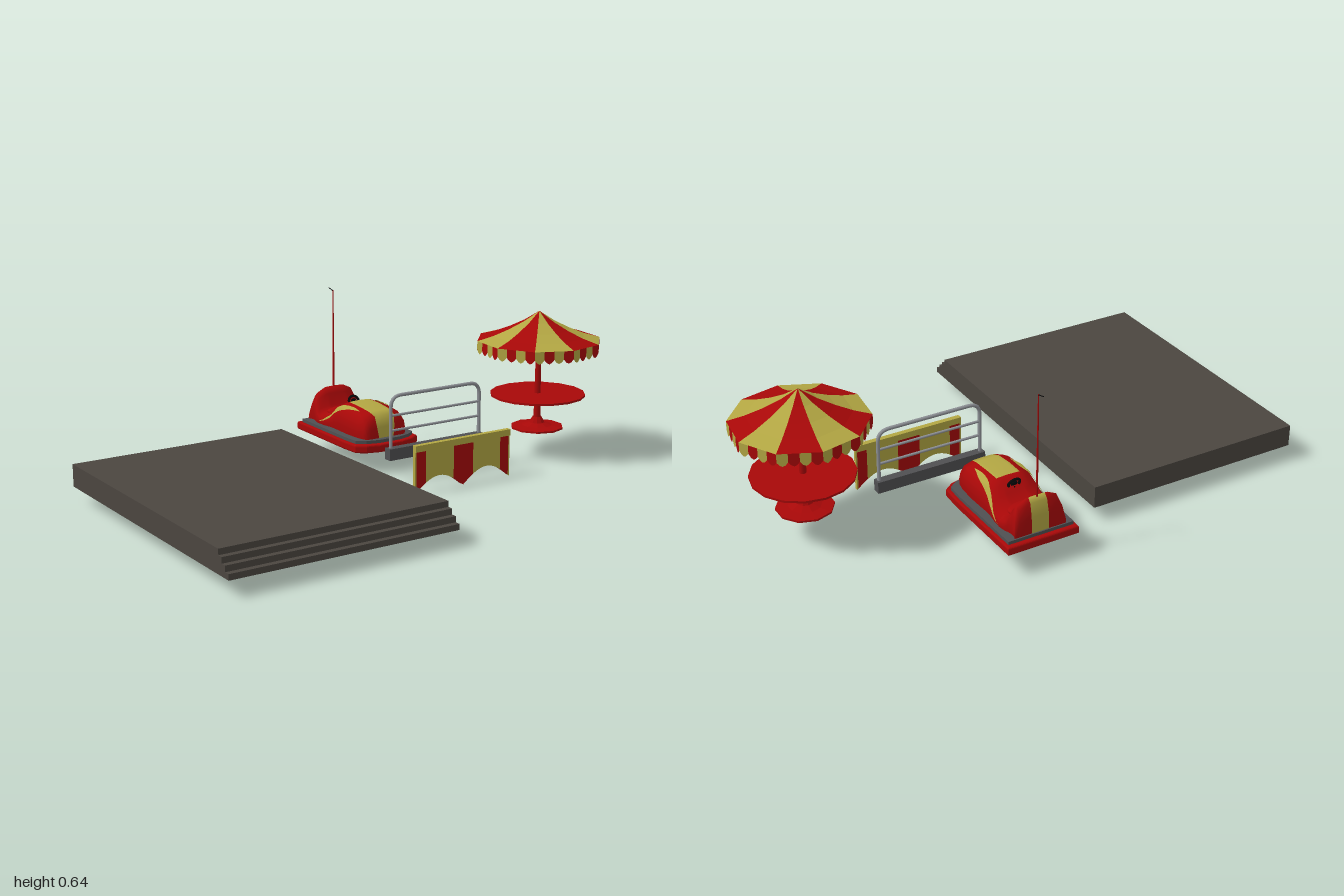
import * as THREE from 'three';

const mat = (name, color, side = THREE.FrontSide) => {
  const m = new THREE.MeshStandardMaterial({ color, side });
  m.name = name;
  return m;
};

// Grid surface from fn(i, j); pick(i, j) gives the material index of each cell
function grid(nu, nv, fn, pick = () => 0, flat = false) {
  const pos = [], lists = [[], []], row = nu + 1;
  for (let j = 0; j <= nv; j++) for (let i = 0; i <= nu; i++) pos.push(...fn(i, j));
  for (let j = 0; j < nv; j++) for (let i = 0; i < nu; i++) {
    const a = j * row + i, d = a + row;
    lists[pick(i, j)].push(a, a + 1, d + 1, a, d + 1, d);
  }
  let g = new THREE.BufferGeometry();
  g.setAttribute('position', new THREE.Float32BufferAttribute(pos, 3));
  g.setIndex([...lists[0], ...lists[1]]);
  g.addGroup(0, lists[0].length, 0);
  g.addGroup(lists[0].length, lists[1].length, 1);
  if (flat) g = g.toNonIndexed();
  g.computeVertexNormals();
  return g;
}

export function createModel() {
  const red = mat('red', 0xa80808, THREE.DoubleSide);
  const yellow = mat('yellow', 0xb3a743, THREE.DoubleSide);
  const stone = mat('dark stone', 0x4b4640);
  const steel = mat('steel', 0x909398);
  const plinthGrey = mat('plinth grey', 0x505052);
  const black = mat('black', 0x080808);
  const paint = [red, yellow];

  const model = new THREE.Group();
  const section = (name, x = 0, y = 0, z = 0) => {
    const g = new THREE.Group();
    g.name = name;
    g.position.set(x, y, z);
    model.add(g);
    return g;
  };
  const add = (parent, name, geo, material, x = 0, y = 0, z = 0) => {
    const m = new THREE.Mesh(geo, material);
    m.name = name;
    m.position.set(x, y, z);
    parent.add(m);
    return m;
  };

  // Platform with small steps along the front
  const platform = section('platform');
  const steps = new THREE.Shape();
  steps.moveTo(0.505, 0.055);
  steps.lineTo(-0.648, 0.055);
  for (let i = 0; i < 4; i++) {
    const z = 0.648 - i * 0.021, y = 0.055 + (i + 1) * 0.0208;
    steps.lineTo(-z, y);
    steps.lineTo(i < 3 ? -z + 0.021 : 0.505, y);
  }
  const slab = new THREE.ExtrudeGeometry(steps, { depth: 0.857, bevelEnabled: false });
  add(platform, 'steppedSlab', slab.rotateY(Math.PI / 2), stone, -1);

  // Parasol table
  const parasol = section('parasolTable', 0.759, -0.002, -0.073);
  const v2 = ([x, y]) => new THREE.Vector2(x, y);
  const foot = [[0, 0.11], [0.103, 0.11], [0.103, 0.117], [0.06, 0.122], [0.03, 0.132], [0.017, 0.155]].map(v2);
  const footGeo = new THREE.LatheGeometry(foot, 10).toNonIndexed();
  footGeo.computeVertexNormals();
  add(parasol, 'foot', footGeo, red);
  add(parasol, 'pole', new THREE.CylinderGeometry(0.008, 0.014, 0.43, 12), red, 0, 0.35);
  add(parasol, 'tableTop', new THREE.CylinderGeometry(0.185, 0.185, 0.008, 16), red, 0, 0.245);

  // Striped ten-sided canopy and its scalloped valance
  const R = 0.243, start = 6.2 * Math.PI / 180;
  const corner = (k) => {
    const a = start + k * Math.PI / 5;
    return [Math.sin(a), -Math.cos(a)];
  };
  const canopyProfile = [[0.002, 0.572], [0.06, 0.534], [0.12, 0.504], [0.18, 0.48], [R, 0.462]];
  add(parasol, 'canopy', grid(10, 4, (i, j) => {
    const [r, y] = canopyProfile[j], [x, z] = corner(i);
    return [r * x, y, r * z];
  }, (i) => i % 2, true), paint);
  const per = 16, stripe = 4;
  add(parasol, 'valance', grid(10 * per, 1, (i, j) => {
    const k = Math.floor(i / per), t = (i % per) / per, p = corner(k), q = corner(k + 1);
    const hem = 0.43 - 0.016 * Math.sin(Math.PI * (i % stripe) / stripe);
    return [R * (p[0] + (q[0] - p[0]) * t), j ? hem : 0.462, R * (p[1] + (q[1] - p[1]) * t)];
  }, (i) => Math.floor(i / stripe) % 2, true), paint);

  // Striped banner with a scalloped hem and yellow ends
  const banner = section('banner');
  const x0 = 0.058, x1 = 0.487;
  const hemY = (x) => 0.055 * Math.abs(Math.sin(2 * Math.PI * (x - x0) / (x1 - x0)));
  const edges = [x0, x0 + 0.006, 0.105, 0.23, 0.318, 0.443, x1 - 0.006, x1];
  for (let s = 0; s < 7; s++) {
    const a = edges[s], b = edges[s + 1], shape = new THREE.Shape();
    shape.moveTo(b, 0.162);
    shape.lineTo(a, 0.162);
    for (let i = 0; i <= 10; i++) shape.lineTo(a + (b - a) * i / 10, hemY(a + (b - a) * i / 10));
    const cloth = new THREE.ExtrudeGeometry(shape, { depth: 0.014, bevelEnabled: false });
    add(banner, 'clothStripe', cloth, paint[(s + 1) % 2], 0, 0, 0.089);
  }
  add(banner, 'topRail', new THREE.BoxGeometry(x1 - x0, 0.024, 0.02), yellow, (x0 + x1) / 2, 0.169, 0.098);

  // Railing on a plinth
  const fence = section('railing', 0.005, -0.002, 0);
  const fz = -0.077, fl = 0.068, fr = 0.472, fTop = 0.328, bend = 0.045;
  add(fence, 'plinth', new THREE.BoxGeometry(0.43, 0.044, 0.032), plinthGrey, 0.269, 0.109, fz);
  const P = (x, y) => new THREE.Vector3(x, y, fz);
  const hoop = new THREE.CurvePath();
  hoop.add(new THREE.LineCurve3(P(fl, 0.12), P(fl, fTop - bend)));
  hoop.add(new THREE.QuadraticBezierCurve3(P(fl, fTop - bend), P(fl, fTop), P(fl + bend, fTop)));
  hoop.add(new THREE.LineCurve3(P(fl + bend, fTop), P(fr - bend, fTop)));
  hoop.add(new THREE.QuadraticBezierCurve3(P(fr - bend, fTop), P(fr, fTop), P(fr, fTop - bend)));
  hoop.add(new THREE.LineCurve3(P(fr, fTop - bend), P(fr, 0.12)));
  add(fence, 'hoop', new THREE.TubeGeometry(hoop, 64, 0.007, 8), steel);
  for (const y of [0.254, 0.197]) {
    const rail = new THREE.CylinderGeometry(0.005, 0.005, fr - fl, 8).rotateZ(Math.PI / 2);
    add(fence, 'rail', rail, steel, (fl + fr) / 2, y, fz);
  }

  // Bumper car: stacked outline plates
  const car = section('bumperCar', 0.151, -0.002, 0);
  const half = [[0.138, -0.648], [0.144, -0.3], [0.14, -0.222], [0.105, -0.196], [0.05, -0.181]];
  const ring = [...half, ...half.map(([x, z]) => [-x, z]).reverse()];
  const outline = (s) => new THREE.Shape(ring.map(([x, z]) => new THREE.Vector2(x * s, -((z + 0.42) * s - 0.42))));
  const plate = (s, depth, bevel) => new THREE.ExtrudeGeometry(outline(s), {
    depth: depth - 2 * bevel, bevelEnabled: bevel > 0, bevelSize: bevel, bevelThickness: bevel,
    bevelOffset: -bevel, bevelSegments: 3,
  }).rotateX(-Math.PI / 2).translate(0, bevel, 0);
  add(car, 'bumper', plate(1, 0.032, 0.007), red, 0, 0.085);
  add(car, 'deck', plate(0.92, 0.014, 0), plinthGrey, 0, 0.115);
  add(car, 'underside', plate(0.86, 0.006, 0), black, 0, 0.083);

  // Body shell: stations of z, half width and top height, front to back
  const base = 0.125;
  const stations = [
    [-0.222, 0.07, 0.126], [-0.226, 0.085, 0.17], [-0.238, 0.093, 0.213], [-0.27, 0.1, 0.224],
    [-0.34, 0.103, 0.232], [-0.41, 0.1, 0.234], [-0.44, 0.098, 0.223], [-0.465, 0.1, 0.196],
    [-0.5, 0.105, 0.178], [-0.535, 0.107, 0.172], [-0.56, 0.104, 0.188], [-0.578, 0.098, 0.23],
    [-0.595, 0.094, 0.255], [-0.61, 0.095, 0.238], [-0.621, 0.098, 0.19], [-0.625, 0.098, 0.126],
  ];
  const side = [[1, 0], [1.03, 0.3], [0.97, 0.6], [0.82, 0.85], [0.46, 0.98]];
  const edge = [...side, [0.34, 0.99]];
  const cross = [...edge.map(([x, y]) => [-x, y]), [0, 1], ...edge.reverse()];
  const shell = grid(12, stations.length - 1, (i, j) => {
    const [z, w, top] = stations[j], [cx, cy] = cross[i];
    return [cx * w, base + cy * (top - base), z];
  }, (i, j) => ((j < 5 && i >= 4 && i <= 7) || (j >= 12 && (i === 5 || i === 6)) ? 1 : 0));
  add(car, 'body', shell, paint);

  // Pointed side flashes lying on the shell
  const onShell = (z, s) => {
    let j = 0;
    while (j < stations.length - 2 && stations[j + 1][0] > z) j++;
    const A = stations[j], B = stations[j + 1], t = (z - A[0]) / (B[0] - A[0]);
    const w = A[1] + (B[1] - A[1]) * t, top = A[2] + (B[2] - A[2]) * t;
    const i = Math.min(Math.floor(s), 3), f = s - i, a = side[i], b = side[i + 1];
    return [(a[0] + (b[0] - a[0]) * f) * w + 0.003, base + (a[1] + (b[1] - a[1]) * f) * (top - base) + 0.003, z];
  };
  for (const sx of [1, -1]) {
    const flash = grid(4, 24, (i, j) => {
      const t = j / 24;
      const s = 3.45 - 2.75 * t * t + (i / 4 - 0.5) * 0.85 * Math.sin(Math.PI * t);
      const [x, y, z] = onShell(-0.3 - 0.235 * t, s);
      return [sx * x, y, z];
    });
    add(car, 'sideFlash', flash, yellow);
  }

  // Seat, steering wheel and current pole
  add(car, 'seat', new THREE.SphereGeometry(1, 20, 12).scale(0.07, 0.014, 0.04), red, 0, 0.17, -0.53);
  const wheel = add(car, 'steeringWheel', new THREE.TorusGeometry(0.022, 0.005, 8, 20), black, 0, 0.22, -0.45);
  wheel.rotation.x = -0.4;
  const hub = new THREE.CylinderGeometry(0.012, 0.012, 0.006, 12).rotateX(Math.PI / 2);
  add(wheel, 'steeringHub', hub, black);
  const column = add(car, 'steeringColumn', new THREE.CylinderGeometry(0.004, 0.004, 0.04, 8), black, 0, 0.212, -0.436);
  column.rotation.x = 1.2;
  add(car, 'currentPole', new THREE.CylinderGeometry(0.002, 0.004, 0.4, 8), red, 0, 0.435, -0.597);
  const tip = add(car, 'poleContact', new THREE.CylinderGeometry(0.0015, 0.002, 0.032, 6), black, 0, 0.637, -0.612);
  tip.rotation.x = -1.3;

  return model;
}
